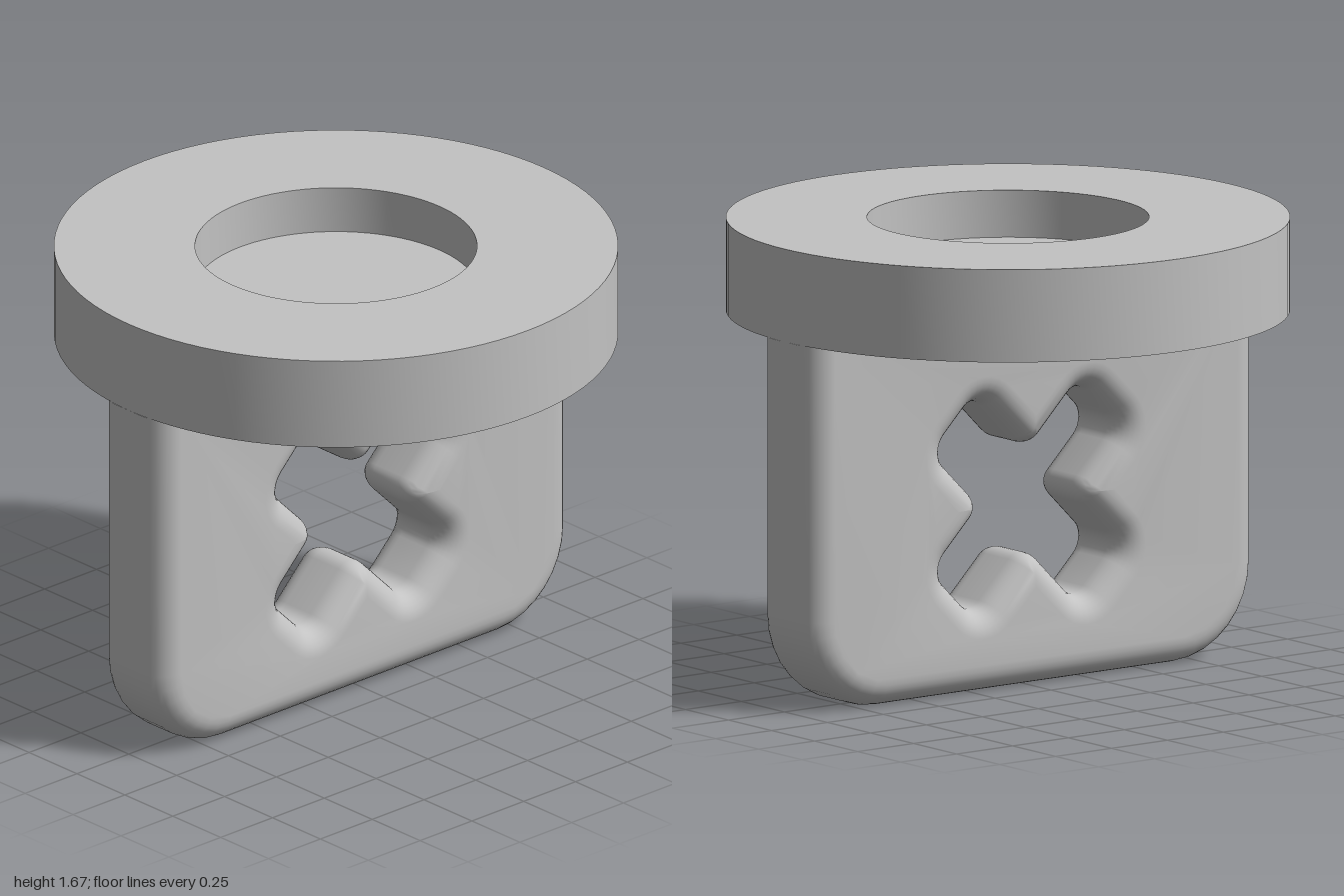
import * as THREE from 'three';
import { toCreasedNormals } from 'three/addons/utils/BufferGeometryUtils.js';

const HALF = 0.165, FILLET = 0.1, TOP = 1.335, HOLE_Y = 0.67;

// Round the right-angled corners [x, y, radius] of a closed polygon
function roundedLoop(corners, steps = 8) {
  const n = corners.length, out = [];
  corners.forEach(([x, y, r], i) => {
    const c = new THREE.Vector2(x, y);
    if (!r) { out.push(c); return; }
    const toward = ([px, py]) => new THREE.Vector2(px, py).sub(c).normalize();
    const a = toward(corners[(i + n - 1) % n]), b = toward(corners[(i + 1) % n]);
    const centre = c.clone().addScaledVector(a, r).addScaledVector(b, r);
    for (let s = 0; s <= steps; s++) {
      const t = (s / steps) * Math.PI / 2;
      out.push(centre.clone().addScaledVector(b, -r * Math.cos(t)).addScaledVector(a, -r * Math.sin(t)));
    }
  });
  return out;
}

// Plate outline, pulled in by d on the sides and bottom
function outline(d) {
  const x = 1 - d, r = 0.335 - d;
  return roundedLoop([[-x, d, r], [x, d, r], [x, TOP, 0], [-x, TOP, 0]]);
}

// Diagonal cross opening, widened by d
function crossHole(d) {
  const g = d * Math.SQRT2, c1 = 0.17 + g, c2 = 0.205 + g, k = 0.634 + g;
  const rIn = Math.max(0.07 - d, 0.004), rOut = 0.07 + d;
  const ax = (k + c2) / 2, ay = (k - c2) / 2, bx = (k - c1) / 2, by = (k + c1) / 2;
  return roundedLoop([
    [c2, 0, rIn], [ax, ay, rOut], [bx, by, rOut],
    [0, c1, rIn], [-bx, by, rOut], [-ax, ay, rOut],
    [-c2, 0, rIn], [-ax, -ay, rOut], [-bx, -by, rOut],
    [0, -c1, rIn], [bx, -by, rOut], [ax, -ay, rOut],
  ]).map(p => p.setY(p.y + HOLE_Y));
}

// Filleted plate: skinned edge loops plus flat front and back faces
function plateGeometry() {
  const levels = [], steps = 8;
  for (let s = 0; s <= steps; s++) {
    const t = (s / steps) * Math.PI / 2;
    levels.push([HALF - FILLET + FILLET * Math.cos(t), FILLET * (1 - Math.sin(t))]);
  }
  levels.push(...levels.slice().reverse().map(([z, d]) => [-z, d]));

  const pos = [];
  const tri = (a, b, c, flip) => {
    for (const p of flip ? [a, c, b] : [a, b, c]) pos.push(...p);
  };
  const skin = (loopAt, flip) => {
    const loops = levels.map(([z, d]) => loopAt(d).map(p => [p.x, p.y, z]));
    for (let i = 0; i + 1 < loops.length; i++) {
      const f = loops[i], b = loops[i + 1];
      for (let j = 0; j < f.length; j++) {
        const k = (j + 1) % f.length;
        tri(f[j], b[j], b[k], flip);
        tri(f[j], b[k], f[k], flip);
      }
    }
  };
  skin(outline, false);
  skin(crossHole, true);

  const rim = outline(FILLET), hole = crossHole(FILLET).reverse();
  const all = [...rim, ...hole];
  for (const face of THREE.ShapeUtils.triangulateShape(rim, [hole])) {
    for (const z of [HALF, -HALF]) {
      const [a, b, c] = face.map(i => [all[i].x, all[i].y, z]);
      tri(a, b, c, z < 0);
    }
  }
  const geo = new THREE.BufferGeometry();
  geo.setAttribute('position', new THREE.Float32BufferAttribute(pos, 3));
  return toCreasedNormals(geo, 0.6);
}

export function createModel() {
  const group = new THREE.Group();
  const grey = new THREE.MeshStandardMaterial({ color: 0xc2c2c2 });
  grey.name = 'light grey';

  // Round cap with a shallow circular recess in its top
  const profile = [[0, TOP], [1, TOP], [1, 1.67], [0.5, 1.67], [0.5, 1.5], [0, 1.5]]
    .map(([x, y]) => new THREE.Vector2(x, y));
  const cap = new THREE.Mesh(toCreasedNormals(new THREE.LatheGeometry(profile, 96), 0.6), grey);
  cap.name = 'recessedCap';

  // Hanging plate with the cross opening
  const plate = new THREE.Mesh(plateGeometry(), grey);
  plate.name = 'crossPlate';

  group.add(cap, plate);
  return group;
}
